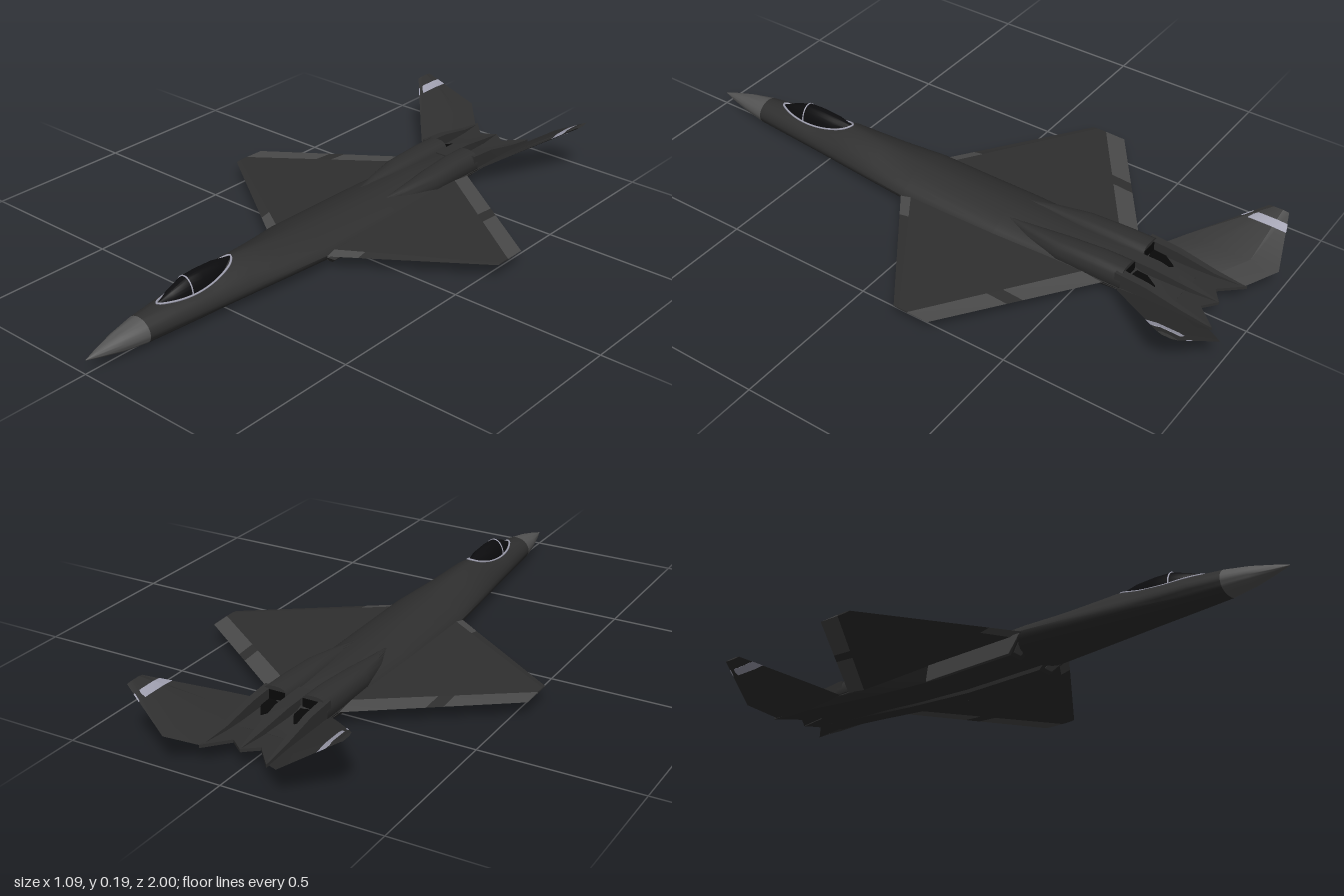
import * as THREE from 'three';
import { toCreasedNormals } from 'three/addons/utils/BufferGeometryUtils.js';

const mat = (color) => new THREE.MeshStandardMaterial({ color, side: THREE.DoubleSide });
const SKIN = mat(0x2f2f2f), PALE = mat(0x4a4a4a), RADOME = mat(0x555555), DARK = mat(0x080808);
const GLASS = mat(0x0c0c0e), FRAME = mat(0xa0a0b0), INTAKE = mat(0x6a6a6a);

// Skin a list of rings ([x,y,z] points) and cap both ends
function loft(rings, crease = 0.6) {
  const n = rings[0].length, idx = [];
  for (let i = 0; i < rings.length - 1; i++) {
    for (let j = 0; j < n; j++) {
      const a = i * n + j, b = i * n + (j + 1) % n;
      idx.push(a, a + n, b, b, a + n, b + n);
    }
  }
  const e = (rings.length - 1) * n;
  for (let j = 1; j < n - 1; j++) idx.push(0, j, j + 1, e, e + j + 1, e + j);
  const g = new THREE.BufferGeometry();
  g.setAttribute('position', new THREE.Float32BufferAttribute(rings.flat(2), 3));
  g.setIndex(idx);
  return toCreasedNormals(g, crease);
}

// Rounded section with separate upper and lower heights; p sets how boxy the top is
function section([z, w, yc, top, bottom, p = 2, x = 0], n = 28) {
  return Array.from({ length: n }, (_, i) => {
    const a = (i / n) * Math.PI * 2, c = Math.cos(a), s = Math.sin(a);
    const q = s >= 0 ? p : 2.2;
    const px = Math.sign(c) * Math.abs(c) ** (2 / q), py = Math.abs(s) ** (2 / q);
    return [x + w * px, s >= 0 ? yc + (top - yc) * py : yc - (yc - bottom) * py, z];
  });
}

const flip = (rings) => rings.map((r) => r.map(([x, y, z]) => [-x, y, z]).reverse());

export function createModel() {
  const model = new THREE.Group();
  const add = (name, geo, material) => {
    const m = new THREE.Mesh(geo, material);
    m.name = name;
    model.add(m);
  };
  const pair = (name, rings, material, crease) => {
    add('left' + name, loft(rings, crease), material);
    add('right' + name, loft(flip(rings), crease), material);
  };

  // Nose cone and fuselage: z, half width, chine height, top, bottom, boxiness
  const joint = [0.8, 0.048, 0.048, 0.09, 0.01];
  add('noseCone', loft([
    [0.995, 0.001, 0.043, 0.044, 0.042], [0.95, 0.015, 0.044, 0.058, 0.032],
    [0.88, 0.033, 0.046, 0.076, 0.018], joint].map((r) => section(r))), RADOME);
  add('fuselage', loft([
    joint, [0.7, 0.06, 0.05, 0.099, 0.009], [0.6, 0.07, 0.05, 0.102, 0.008],
    [0.52, 0.078, 0.051, 0.114, 0.008, 1.7], [0.44, 0.088, 0.052, 0.132, 0.008, 1.5],
    [0.3, 0.105, 0.053, 0.122, 0.009, 1.5], [0.14, 0.123, 0.054, 0.112, 0.01, 1.6],
    [-0.2, 0.122, 0.054, 0.1, 0.01, 1.6], [-0.4, 0.115, 0.054, 0.098, 0.02, 1.6],
    [-0.6, 0.11, 0.055, 0.096, 0.035, 1.8], [-0.66, 0.11, 0.055, 0.072, 0.037, 3],
    [-0.8, 0.108, 0.056, 0.064, 0.047, 3]].map((r) => section(r))), SKIN);

  // Flat tail end with a zigzag trailing edge
  const tail = new THREE.Shape([[-0.108, 0.78], [0.108, 0.78], [0.108, 0.94], [0.045, 0.87],
    [0, 0.905], [-0.045, 0.87], [-0.108, 0.94]].map((p) => new THREE.Vector2(...p)));
  const tailGeo = new THREE.ExtrudeGeometry(tail, { depth: 0.01, bevelEnabled: false });
  tailGeo.rotateX(-Math.PI / 2).translate(0, 0.053, 0);
  add('tailDeck', tailGeo, SKIN);

  // Canopy glass, its frame and bow
  add('canopy', loft([
    [0.725, 0.004, 0.09, 0.101, 0.08], [0.68, 0.023, 0.09, 0.122, 0.08],
    [0.62, 0.034, 0.09, 0.143, 0.08], [0.57, 0.035, 0.09, 0.146, 0.08],
    [0.5, 0.031, 0.095, 0.143, 0.08], [0.435, 0.01, 0.11, 0.132, 0.09]].map((r) => section(r))), GLASS);
  const side = [[0.025, 0.097, 0.68], [0.036, 0.094, 0.6], [0.033, 0.104, 0.52], [0.02, 0.124, 0.455]];
  const loop = [[0, 0.102, 0.73], ...side, [0, 0.134, 0.435],
    ...side.map(([x, y, z]) => [-x, y, z]).reverse()].map((p) => new THREE.Vector3(...p));
  add('canopyFrame', new THREE.TubeGeometry(new THREE.CatmullRomCurve3(loop, true), 64, 0.0035, 6, true), FRAME);
  const bow = Array.from({ length: 9 }, (_, i) => {
    const a = (i / 8) * Math.PI;
    return new THREE.Vector3(0.034 * Math.cos(a), 0.09 + 0.053 * Math.sin(a), 0.62);
  });
  add('canopyBow', new THREE.TubeGeometry(new THREE.CatmullRomCurve3(bow), 24, 0.0025, 6), FRAME);

  // Upper engine humps, ending in dark exhausts over the deck
  pair('EngineHump', [
    [-0.19, 0.002, 0.06, 0.088, 0.05, 2, 0.05], [-0.3, 0.026, 0.06, 0.1, 0.05, 2.4, 0.062],
    [-0.42, 0.042, 0.06, 0.111, 0.05, 2.8, 0.067], [-0.55, 0.046, 0.06, 0.117, 0.05, 3, 0.064],
    [-0.64, 0.046, 0.06, 0.117, 0.05, 3, 0.064]].map((r) => section(r, 24)), SKIN);
  const slab = (x0, x1, y0, y1, z) => [[x1, y0, z], [x1, y1, z], [x0, y1, z], [x0, y0, z]];
  pair('ExhaustMouth', [slab(0.03, 0.082, 0.066, 0.104, -0.638), slab(0.03, 0.082, 0.066, 0.104, -0.643)], DARK);
  pair('ExhaustFloor', [slab(0.028, 0.082, 0.06, 0.0765, -0.64), slab(0.028, 0.082, 0.06, 0.0735, -0.685),
    slab(0.053, 0.056, 0.06, 0.0715, -0.725)], DARK);
  pair('ExhaustWall', [slab(0.082, 0.109, 0.055, 0.108, -0.62), slab(0.084, 0.108, 0.055, 0.1, -0.72),
    slab(0.09, 0.108, 0.055, 0.075, -0.84), slab(0.102, 0.108, 0.055, 0.062, -0.93)], SKIN);
  add('tailSpine', loft([slab(-0.022, 0.022, 0.05, 0.1, -0.58), slab(-0.022, 0.022, 0.05, 0.098, -0.7),
    slab(-0.012, 0.012, 0.05, 0.078, -0.82), slab(-0.002, 0.002, 0.05, 0.064, -0.9)]), SKIN);

  // Lower engine nacelles with raked intakes and pale outer panels
  const nacelle = ([z, rake, xo, xb, yb]) => [
    [xo, 0.05, z], [0.035, 0.05, z], [0.045, yb, z - rake], [xb, yb, z - rake]];
  pair('Nacelle', [[0.15, 0.06, 0.122, 0.096, 0], [-0.2, 0, 0.122, 0.096, 0.001],
    [-0.45, 0, 0.114, 0.095, 0.018], [-0.62, 0, 0.11, 0.094, 0.034],
    [-0.82, 0, 0.105, 0.09, 0.049]].map(nacelle), SKIN, 0.3);
  pair('IntakePanel', [[0.145, 0.06], [-0.22, 0.03]].map(([z, r]) => [
    [0.1235, 0.048, z], [0.118, 0.048, z], [0.095, 0.006, z - r], [0.1005, 0.006, z - r]]), INTAKE, 0.3);
  pair('IntakeMouth', [0.1525, 0.149].map((z) => [
    [0.112, 0.042, z - 0.01], [0.058, 0.042, z - 0.01], [0.06, 0.008, z - 0.05], [0.093, 0.008, z - 0.05]]), PALE);

  // Diamond wings: a flat centre panel with tapered strips along both edges
  const lead = (x) => 0.145 - 0.702 * (x - 0.125), trail = (x) => -0.575 + 0.72 * (x - 0.12);
  const half = (x) => 0.008 - 0.0135 * (x - 0.1), front = (x) => 0.04 - 0.05 * (x - 0.1), back = 0.07;
  const WY = 0.053;
  const panel = (x) => {
    const a = lead(x) - front(x), b = trail(x) + back, h = half(x);
    return [[x, WY - h, a], [x, WY + h, a], [x, WY + h, b], [x, WY - h, b]];
  };
  const leadStrip = (x) => {
    const a = lead(x) - front(x), h = half(x);
    return [[x, WY, lead(x)], [x, WY + h, a], [x, WY - h, a]];
  };
  const trailStrip = (x) => {
    const b = trail(x) + back, h = half(x);
    return [[x, WY - h, b], [x, WY + h, b], [x, WY, trail(x)]];
  };
  pair('Wing', [0.09, 0.545].map(panel), SKIN);
  pair('WingLeadingEdge', [0.1, 0.2].map(leadStrip), PALE, 0.1);
  pair('WingOuterLeadingEdge', [0.2, 0.545].map(leadStrip), SKIN, 0.1);
  pair('InnerFlap', [0.105, 0.31].map(trailStrip), PALE, 0.1);
  pair('FlapGap', [0.31, 0.35].map(trailStrip), SKIN, 0.1);
  pair('OuterFlap', [0.35, 0.545].map(trailStrip), PALE, 0.1);

  // Canted tails with a light band near the tip
  const fin = (h) => ([x, z0, z1]) => {
    const y = 0.05 + 0.6 * (x - 0.1), dx = -0.51 * h, dy = 0.86 * h;
    const at = (f, s) => [x + dx * s, y + dy * s, z0 + (z1 - z0) * f];
    return [at(0, 0), at(0.25, 1), at(0.7, 1), at(1, 0), at(0.7, -1), at(0.25, -1)];
  };
  pair('TailFin', [[0.1, -0.61, -0.92], [0.18, -0.7, -1], [0.335, -0.88, -0.945]].map(fin(0.004)), SKIN, 0.2);
  pair('TailBand', [[0.282, -0.817, -0.965], [0.305, -0.844, -0.957]].map(fin(0.0052)), FRAME, 0.2);

  return model;
}
